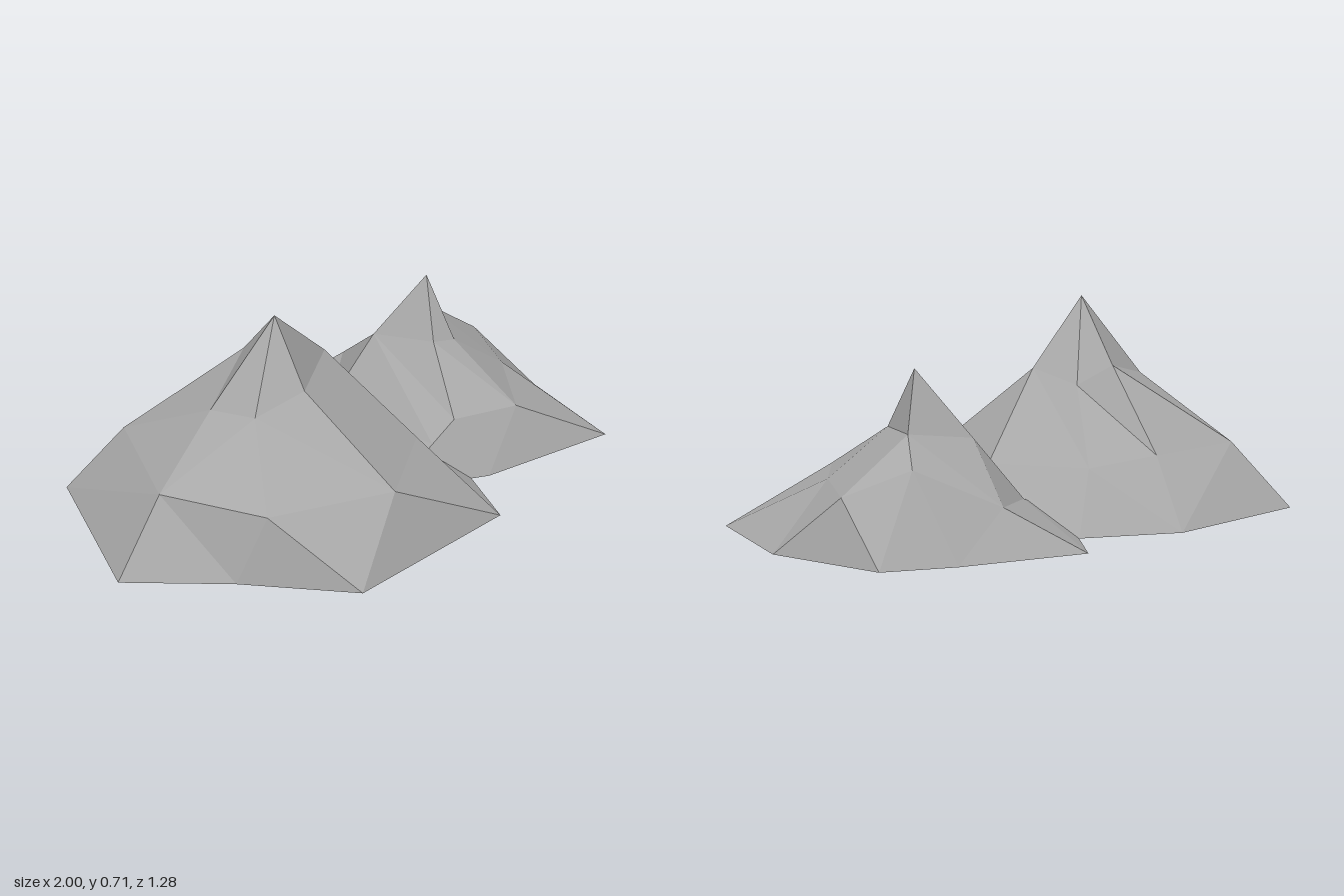
import * as THREE from 'three';

const rock = new THREE.MeshStandardMaterial({ color: 0xa8a8a8, flatShading: true, side: THREE.DoubleSide });
rock.name = 'grey rock';

// Joins two closed rings; each step advances the inner (i) or outer (o) ring by one corner.
function stitch(inner, outer, steps, out) {
  let i = 0, o = 0;
  const at = (ring, n) => ring[n % ring.length];
  for (const step of steps) {
    const next = step === 'i' ? at(inner, ++i) : at(outer, o + 1);
    const from = step === 'i' ? at(inner, i - 1) : at(inner, i);
    out.push(...from, ...at(outer, o), ...next);
    if (step === 'o') o++;
  }
}

// A mountain is an open shell of rings from the peak down to the ground.
function mountain(name, rings, seams) {
  const positions = [];
  seams.forEach((steps, k) => stitch(rings[k], rings[k + 1], steps, positions));
  const geometry = new THREE.BufferGeometry();
  geometry.setAttribute('position', new THREE.Float32BufferAttribute(positions, 3));
  geometry.computeVertexNormals();
  const mesh = new THREE.Mesh(geometry, rock);
  mesh.name = name;
  return mesh;
}

export function createModel() {
  const group = new THREE.Group();
  group.name = 'mountains';

  // Rings run left, front, right, back: peak, shoulders, slopes, foot
  group.add(mountain('largeMountain', [
    [[-0.32, 0.715, 0.05]],
    [[-0.55, 0.43, 0], [-0.5, 0.45, 0.17], [-0.32, 0.5, 0.2],
      [-0.06, 0.49, -0.01], [-0.18, 0.43, -0.1], [-0.27, 0.5, -0.18]],
    [[-0.82, 0.25, 0.08], [-0.63, 0.23, 0.39], [-0.22, 0.235, 0.53], [0.1, 0.22, 0.28],
      [0.19, 0.2, -0.09], [-0.02, 0.2, -0.36], [-0.28, 0.22, -0.4], [-0.62, 0.23, -0.4]],
    [[-1, 0, 0.09], [-0.72, 0, 0.34], [-0.45, 0, 0.64], [0.22, 0, 0.57],
      [0.46, 0, -0.02], [0.1, 0, -0.46], [-0.22, 0, -0.6], [-0.78, 0, -0.53]],
  ], ['oooooo', 'iooiioooioioio', 'oioioiiooioiioio']));

  group.add(mountain('smallMountain', [
    [[0.52, 0.555, -0.14]],
    [[0.37, 0.33, -0.25], [0.43, 0.37, 0], [0.53, 0.35, 0], [0.63, 0.37, -0.26]],
    [[0.18, 0.11, -0.27], [0.22, 0.13, 0.23], [0.31, 0.2, 0.24], [0.56, 0.19, 0.29],
      [0.75, 0.2, 0.02], [0.88, 0.2, -0.26], [0.69, 0.28, -0.37], [0.43, 0.15, -0.49]],
    [[-0.08, 0, -0.16], [0.05, 0, 0.21], [0.38, 0, 0.35], [0.91, 0, 0.4],
      [1, 0, -0.05], [0.87, 0, -0.45], [0.64, 0, -0.54], [0.21, 0, -0.64]],
  ], ['oooo', 'ooioioioooio', 'oioiioioioioioio']));

  return group;
}
